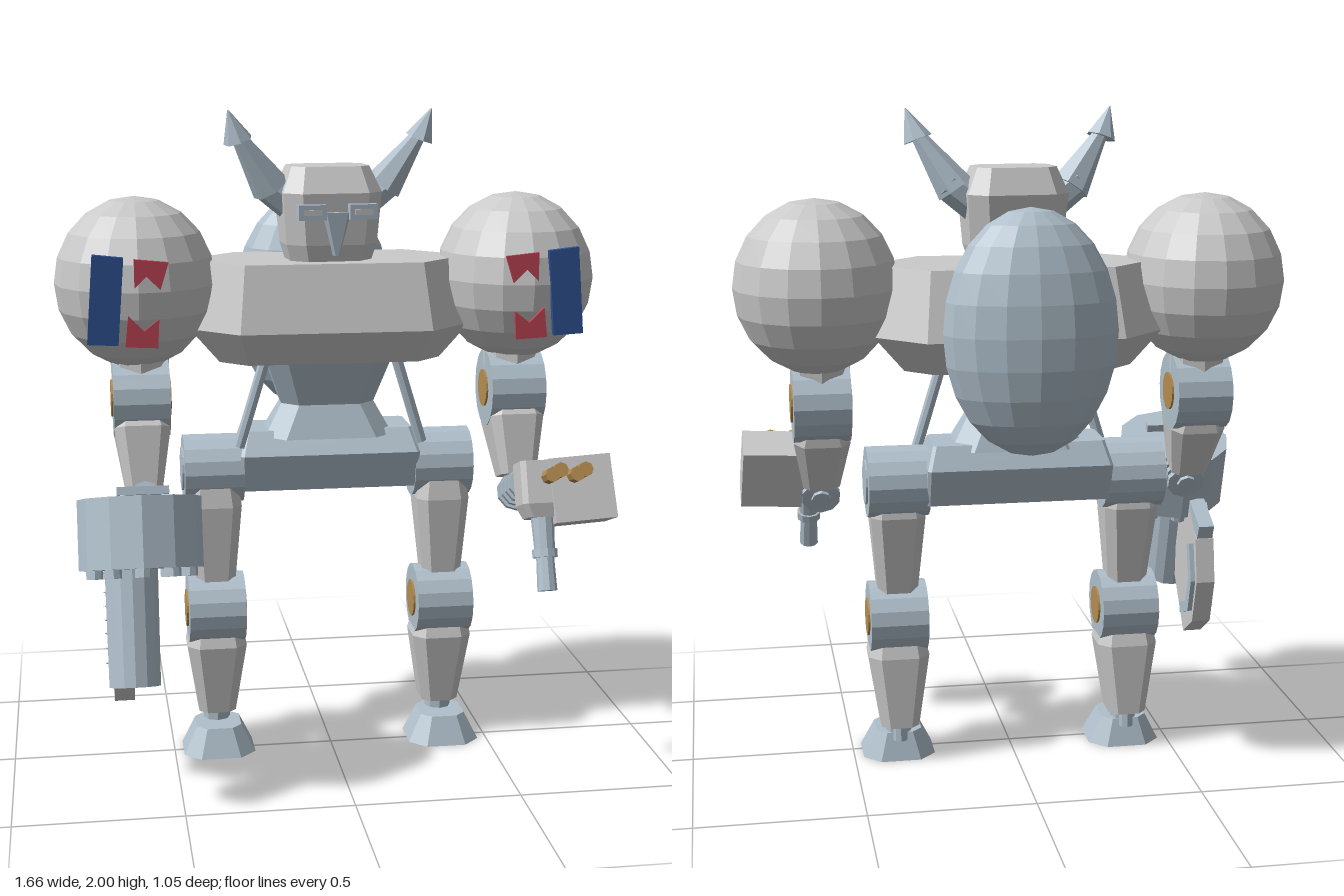
import * as THREE from 'three';

const mat = (name, color) => {
  const m = new THREE.MeshStandardMaterial({ color, flatShading: true });
  m.name = name;
  return m;
};

export function createModel() {
  const model = new THREE.Group();
  model.name = 'walkingRobot';
  const plate = mat('paleGreyPlate', 0xcacaca);
  const steel = mat('blueGreySteel', 0xafbfcb);
  const red = mat('redPaint', 0xc04555);
  const blue = mat('bluePaint', 0x2d5294);
  const brass = mat('brass', 0xb48d50);

  const add = (parent, name, geo, m, x = 0, y = 0, z = 0) => {
    const mesh = new THREE.Mesh(geo, m);
    mesh.name = name;
    mesh.position.set(x, y, z);
    parent.add(mesh);
    return mesh;
  };
  const group = (name, x, y, z) => {
    const g = new THREE.Group();
    g.name = name;
    g.position.set(x, y, z);
    model.add(g);
    return g;
  };

  // Chamfered octagonal loft; sections run upward: [y, halfWidth, back, front, chamfer]
  const loft = (sections) => {
    const pos = [];
    const rings = sections.map(([y, w, b, f, c]) => [
      [w - c, y, f], [w, y, f - c], [w, y, b + c], [w - c, y, b],
      [c - w, y, b], [-w, y, b + c], [-w, y, f - c], [c - w, y, f]]);
    const n = rings.length - 1;
    for (let i = 0; i < 8; i++) {
      const j = (i + 1) % 8;
      for (let k = 0; k < n; k++) {
        const a = rings[k], t = rings[k + 1];
        pos.push(...a[i], ...a[j], ...t[j], ...a[i], ...t[j], ...t[i]);
      }
      if (i > 0 && i < 7) {
        pos.push(...rings[n][0], ...rings[n][i], ...rings[n][j]);
        pos.push(...rings[0][0], ...rings[0][j], ...rings[0][i]);
      }
    }
    const g = new THREE.BufferGeometry();
    g.setAttribute('position', new THREE.Float32BufferAttribute(pos, 3));
    g.computeVertexNormals();
    return g;
  };

  // Round bar from a to b
  const rod = (parent, name, a, b, r0, r1, m, seg = 8) => {
    const p = new THREE.Vector3(...a), q = new THREE.Vector3(...b), d = q.clone().sub(p);
    const mesh = add(parent, name, new THREE.CylinderGeometry(r1, r0, d.length(), seg), m);
    mesh.position.copy(p).add(q).multiplyScalar(0.5);
    mesh.quaternion.setFromUnitVectors(new THREE.Vector3(0, 1, 0), d.normalize());
    return mesh;
  };
  const extrude = (pts, depth) => new THREE.ExtrudeGeometry(
    new THREE.Shape(pts.map(([x, y]) => new THREE.Vector2(x, y))), { depth, bevelEnabled: false });
  // Joint drum lying along x, with brass hubs on both ends
  const joint = (name, x, y, z, r, w, hub, hubMat) => {
    rod(model, name, [x - w, y, z], [x + w, y, z], r, r, steel, 16);
    rod(model, name + 'Hub', [x - w - 0.006, y, z], [x + w + 0.006, y, z], hub, hub, hubMat, 16);
  };

  // Torso, waist and pelvis
  add(model, 'torso', loft([
    [1.245, 0.34, -0.25, 0.07, 0.08],
    [1.35, 0.43, -0.33, 0.145, 0.14],
    [1.55, 0.37, -0.26, 0.09, 0.1]]), plate);
  add(model, 'waist', loft([
    [1.0, 0.2, -0.22, 0.02, 0.06],
    [1.1, 0.145, -0.18, -0.02, 0.05],
    [1.26, 0.2, -0.23, 0.04, 0.06]]), steel);
  add(model, 'pelvis', loft([
    [0.835, 0.28, -0.19, -0.01, 0.01],
    [0.95, 0.28, -0.235, 0.02, 0.01],
    [1.02, 0.26, -0.2, -0.03, 0.01]]), steel);
  const pod = add(model, 'backPod', new THREE.SphereGeometry(1, 16, 12), steel, -0.005, 1.38, -0.36);
  pod.scale.set(0.255, 0.357, 0.16);
  pod.rotation.x = 0.04;

  for (const s of [1, -1]) {
    rod(model, 'waistPiston', [s * 0.2, 1.26, 0], [s * 0.285, 0.98, 0], 0.017, 0.017, steel);

    // Leg
    const x = s * 0.36;
    joint('hip', x, 0.895, -0.095, 0.108, 0.092, 0.068, steel);
    add(model, 'thigh', loft([
      [0.53, 0.06, -0.11, 0, 0.025],
      [0.79, 0.083, -0.16, 0.015, 0.03],
      [0.86, 0.075, -0.15, 0.0, 0.03]]), plate, x);
    joint('knee', x, 0.455, -0.05, 0.11, 0.088, 0.058, brass);
    add(model, 'shin', loft([
      [0.115, 0.058, -0.14, -0.005, 0.025],
      [0.34, 0.093, -0.14, 0.03, 0.035],
      [0.4, 0.08, -0.12, 0.01, 0.03]]), plate, x);
    rod(model, 'ankle', [x, 0.07, -0.06], [x, 0.13, -0.06], 0.042, 0.042, steel);
    rod(model, 'heelPiston', [x, 0.065, -0.105], [x, 0.13, -0.1], 0.022, 0.022, steel);
    add(model, 'foot', loft([
      [0, 0.112, -0.12, 0.095, 0.05],
      [0.085, 0.07, -0.095, 0.055, 0.03]]), steel, x);

    // Shoulder and its painted panels
    const ball = add(model, 'shoulder', new THREE.SphereGeometry(0.259, 16, 10), plate, s * 0.588, 1.487, -0.07);
    ball.scale.x = 0.94;
    const panel = (name, pts, depth, m, z) =>
      add(model, name, extrude(pts.map(([u, v]) => [u * s, v]), depth), m, 0, 0, z);
    panel('bluePanel', [[0.63, 1.59], [0.72, 1.6], [0.74, 1.34], [0.65, 1.335]], 0.022, blue, 0.167);
    panel('redUpperPanel', [[0.5, 1.575], [0.6, 1.585], [0.6, 1.5], [0.565, 1.535], [0.525, 1.495]], 0.012, red, 0.173);
    panel('redLowerPanel', [[0.535, 1.325], [0.63, 1.33], [0.62, 1.42], [0.575, 1.375], [0.53, 1.41]], 0.012, red, 0.173);

    // Arm, bent forward below the elbow
    const ax = s * 0.58;
    rod(model, 'upperArm', [ax, 1.14, -0.05], [ax, 1.28, -0.06], 0.085, 0.09, plate);
    joint('elbow', ax, 1.135, -0.05, 0.12, 0.085, 0.058, brass);
    const forearm = add(model, 'forearm', loft([
      [-0.28, 0.056, -0.058, 0.055, 0.02],
      [-0.1, 0.085, -0.1, 0.09, 0.03],
      [-0.04, 0.07, -0.08, 0.07, 0.03]]), plate, ax, 1.135, -0.05);
    forearm.rotation.x = -0.34;
    // Ribbed wrist
    rod(model, 'wristCore', [ax, 0.81, 0.03], [ax, 0.9, 0.2], 0.03, 0.03, steel);
    for (let i = 0; i < 4; i++) {
      const y = 0.815 + i * 0.016, z = 0.04 + i * 0.03;
      rod(model, 'wristRing', [ax, y, z], [ax, y + 0.008, z + 0.016], 0.06 - i * 0.004, 0.06 - i * 0.004, steel, 10);
    }
  }

  // Head, turned slightly
  const head = group('head', 0, 0, -0.065);
  head.rotation.y = 0.08;
  add(head, 'skull', loft([
    [1.53, 0.12, -0.09, 0.09, 0.045],
    [1.6, 0.14, -0.1, 0.11, 0.05],
    [1.755, 0.152, -0.125, 0.12, 0.05],
    [1.832, 0.12, -0.09, 0.075, 0.035]]), plate);
  add(head, 'beak', loft([
    [1.57, 0.008, 0.08, 0.13, 0.003],
    [1.7, 0.043, 0.09, 0.135, 0.01]]), steel);
  for (const s of [1, -1]) {
    // Eye frame with a pale slit
    add(head, 'eyeFrame', new THREE.BoxGeometry(0.085, 0.045, 0.035), steel, s * 0.078, 1.702, 0.13);
    add(head, 'eyeSlit', new THREE.BoxGeometry(0.055, 0.017, 0.006), plate, s * 0.078, 1.702, 0.148);
    // Horn in three stages
    rod(head, 'hornRoot', [s * 0.1, 1.71, 0], [s * 0.2, 1.785, 0], 0.055, 0.05, steel, 7);
    rod(head, 'hornStem', [s * 0.175, 1.765, 0], [s * 0.285, 1.93, 0.03], 0.06, 0.02, steel, 7);
    rod(head, 'hornTip', [s * 0.28, 1.91, 0.03], [s * 0.312, 2.0, 0.045], 0.045, 0.002, steel, 7);
  }

  // Right hand: drum cannon, pointing down and forward
  const cannon = group('cannon', -0.605, 0.905, 0.295);
  cannon.rotation.x = -0.3;
  add(cannon, 'drum', new THREE.CylinderGeometry(0.18, 0.18, 0.205, 12), steel, 0, -0.102, 0);
  add(cannon, 'barrel', new THREE.LatheGeometry(
    [[0, -0.48], [0.055, -0.48], [0.06, -0.54], [0.075, -0.54], [0.078, -0.2]]
      .map(([r, y]) => new THREE.Vector2(r, y)), 14), steel, -0.03, 0, 0);
  for (let i = 0; i < 10; i++) {
    const a = i / 10 * Math.PI * 2;
    add(cannon, 'drumBolt', new THREE.CylinderGeometry(0.024, 0.024, 0.03, 8), steel,
      Math.sin(a) * 0.142, -0.215, Math.cos(a) * 0.142);
  }
  add(cannon, 'handleBar', new THREE.BoxGeometry(0.15, 0.024, 0.024), steel, 0.01, 0.02, 0.04);
  add(cannon, 'handleStem', new THREE.BoxGeometry(0.035, 0.03, 0.17), steel, 0.01, 0.015, -0.06);

  // Saw blade behind the barrel
  const side = (name, pts, depth, m, x) =>
    add(model, name, extrude(pts, depth).rotateY(-Math.PI / 2), m, x);
  side('sawBlade', [[0.325, 0.66], [0.34, 0.415], [0.215, 0.257], [0.11, 0.325],
    [0.065, 0.47], [0.09, 0.61], [0.18, 0.71]], 0.06, plate, -0.63);
  side('sawGuard', [[0.115, 0.59], [0.082, 0.47], [0.115, 0.36], [0.21, 0.325],
    [0.215, 0.36], [0.145, 0.385], [0.115, 0.47], [0.145, 0.58]], 0.02, steel, -0.615);
  const grip = add(model, 'sawGrip', new THREE.BoxGeometry(0.05, 0.05, 0.14), steel, -0.655, 0.67, 0.125);
  grip.rotation.x = -0.45;
  for (let i = 0; i < 6; i++) {
    add(model, 'sawTooth', new THREE.ConeGeometry(0.014, 0.03, 4).rotateZ(Math.PI / 2), steel,
      -0.7, 0.36 + i * 0.045, 0.15 + Math.abs(i - 2) * 0.006);
  }

  // Left hand: box-fed gun
  const gun = group('gun', 0.6, 0.865, 0.24);
  gun.rotation.x = -0.36;
  add(gun, 'gunBody', loft([
    [-0.08, 0.045, -0.045, 0.045, 0.015],
    [-0.04, 0.062, -0.06, 0.06, 0.015],
    [0.09, 0.062, -0.06, 0.06, 0.015]]), plate);
  const box = add(gun, 'ammoBox', new THREE.BoxGeometry(0.19, 0.195, 0.14), plate, 0.122, 0, 0);
  box.rotation.z = 0.06;
  rod(gun, 'gunBarrel', [0.005, -0.06, 0.01], [0.005, -0.2, 0.01], 0.036, 0.03, steel, 10);
  rod(gun, 'gunCollar', [0.005, -0.175, 0.01], [0.005, -0.2, 0.01], 0.038, 0.038, steel, 10);
  rod(gun, 'gunMuzzle', [0.005, -0.2, 0.01], [0.005, -0.3, 0.01], 0.027, 0.03, steel, 10);
  for (const kx of [0.032, 0.108]) {
    for (const o of [-0.013, 0.013]) {
      rod(gun, 'brassKnob', [kx + o, 0.045 + o * 0.5, 0.05], [kx + o, 0.045 + o * 0.5, 0.115], 0.023, 0.023, brass, 8);
    }
  }

  return model;
}
